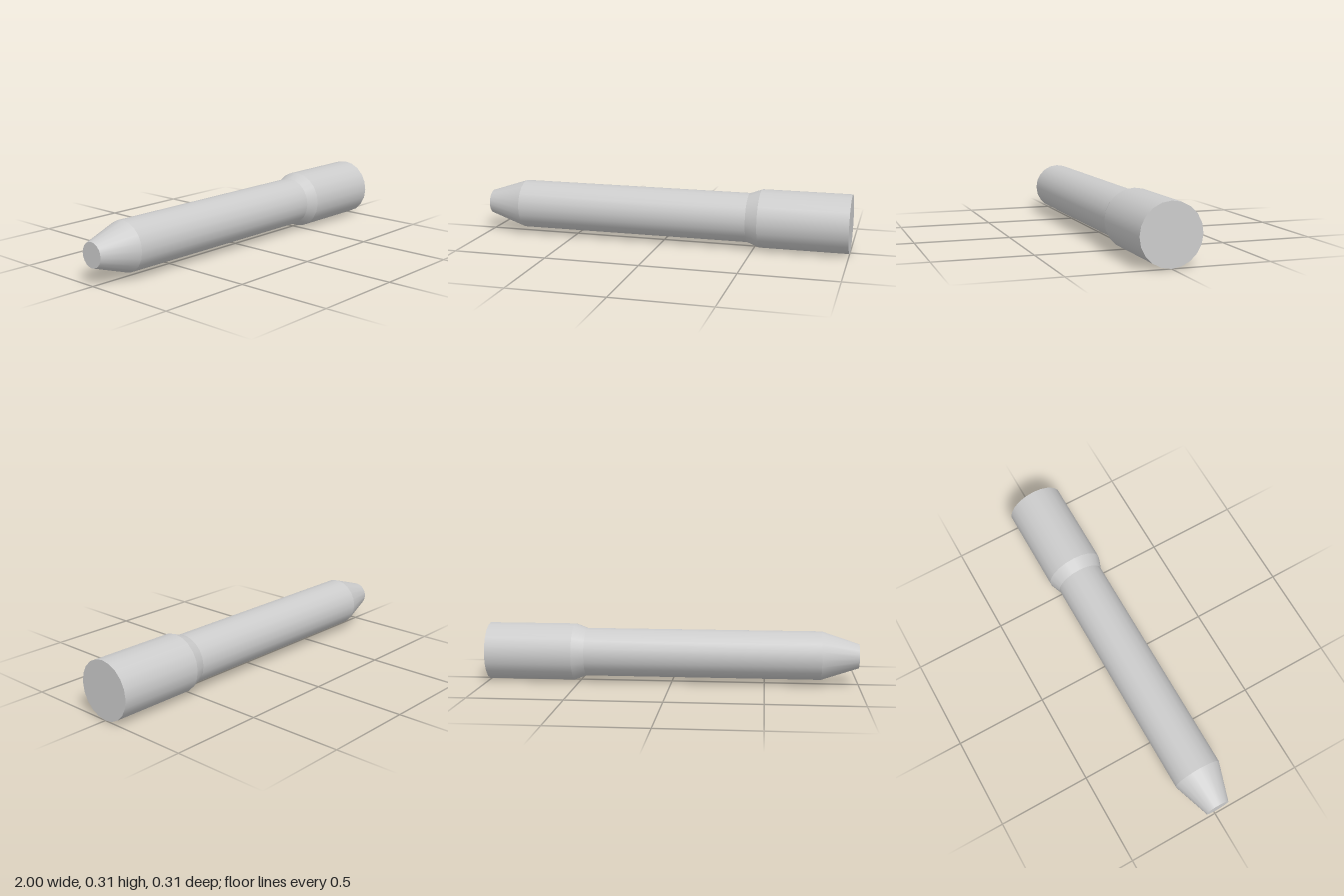
import * as THREE from 'three';
import { mergeGeometries } from 'three/addons/utils/BufferGeometryUtils.js';

const SIDES = 20;
const AXIS_Y = 0.155;

// Open round section along x, from radius r0 at x0 to radius r1 at x1
function section(x0, r0, x1, r1) {
  const g = new THREE.CylinderGeometry(r1, r0, x1 - x0, SIDES, 1, true);
  return g.rotateZ(-Math.PI / 2).translate((x0 + x1) / 2, 0, 0);
}

// Flat end disc facing +x (dir 1) or -x (dir -1)
function endCap(x, r, dir) {
  const g = new THREE.CircleGeometry(r, SIDES);
  return g.rotateY(dir * Math.PI / 2).translate(x, 0, 0);
}

export function createModel() {
  const group = new THREE.Group();
  const material = new THREE.MeshStandardMaterial({ color: 0xcccccc });
  const add = (name, ...parts) => {
    const mesh = new THREE.Mesh(mergeGeometries(parts), material);
    mesh.name = name;
    mesh.position.y = AXIS_Y;
    group.add(mesh);
  };

  // Tapered tip with its blunt end
  add('tip', endCap(-1, 0.065, -1), section(-1, 0.065, -0.8, 0.131));
  // Long straight shaft
  add('shaft', section(-0.8, 0.131, 0.465, 0.131));
  // Short flare up to the head
  add('collar', section(0.465, 0.131, 0.53, 0.155));
  // Wider head with its flat end
  add('head', section(0.53, 0.155, 1, 0.155), endCap(1, 0.155, 1));

  return group;
}
